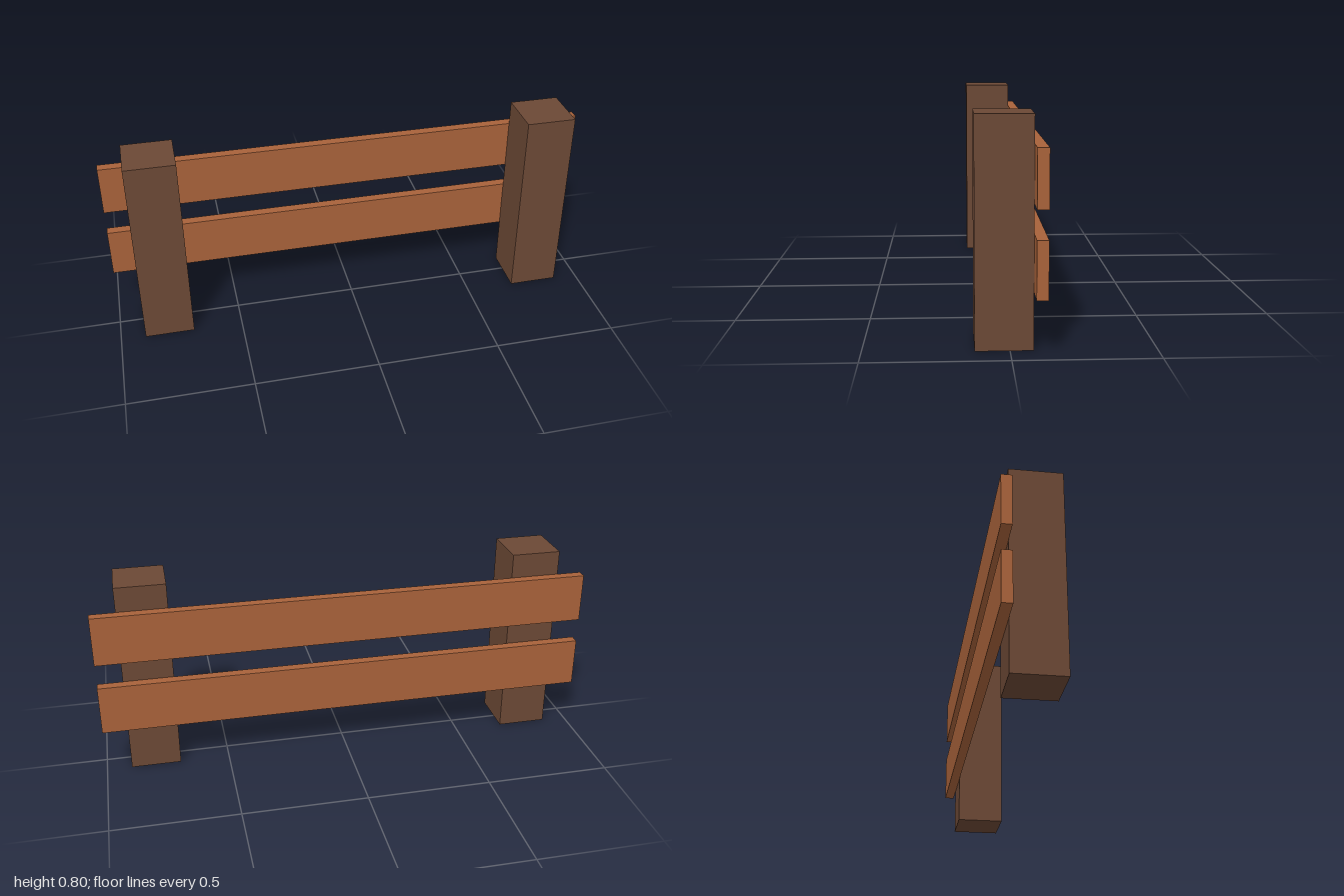
import * as THREE from 'three';

export function createModel() {
  const postWood = new THREE.MeshStandardMaterial({ color: 0x6b4835 });
  postWood.name = 'darkWood';
  const railWood = new THREE.MeshStandardMaterial({ color: 0xa8623a });
  railWood.name = 'lightWood';

  const fence = new THREE.Group();
  fence.name = 'fence';

  const addBox = (name, size, position, material) => {
    const mesh = new THREE.Mesh(new THREE.BoxGeometry(...size), material);
    mesh.name = name;
    mesh.position.set(...position);
    fence.add(mesh);
  };

  // Square posts, mirrored left and right
  for (const [name, side] of [['leftPost', 1], ['rightPost', -1]]) {
    addBox(name, [0.2, 0.8, 0.2], [side * 0.8, 0.4, 0.02], postWood);
  }

  // Planks fixed to the back of the posts
  for (const [name, y] of [['lowerRail', 0.3], ['upperRail', 0.6]]) {
    addBox(name, [2, 0.2, 0.04], [0, y, -0.1], railWood);
  }

  return fence;
}
